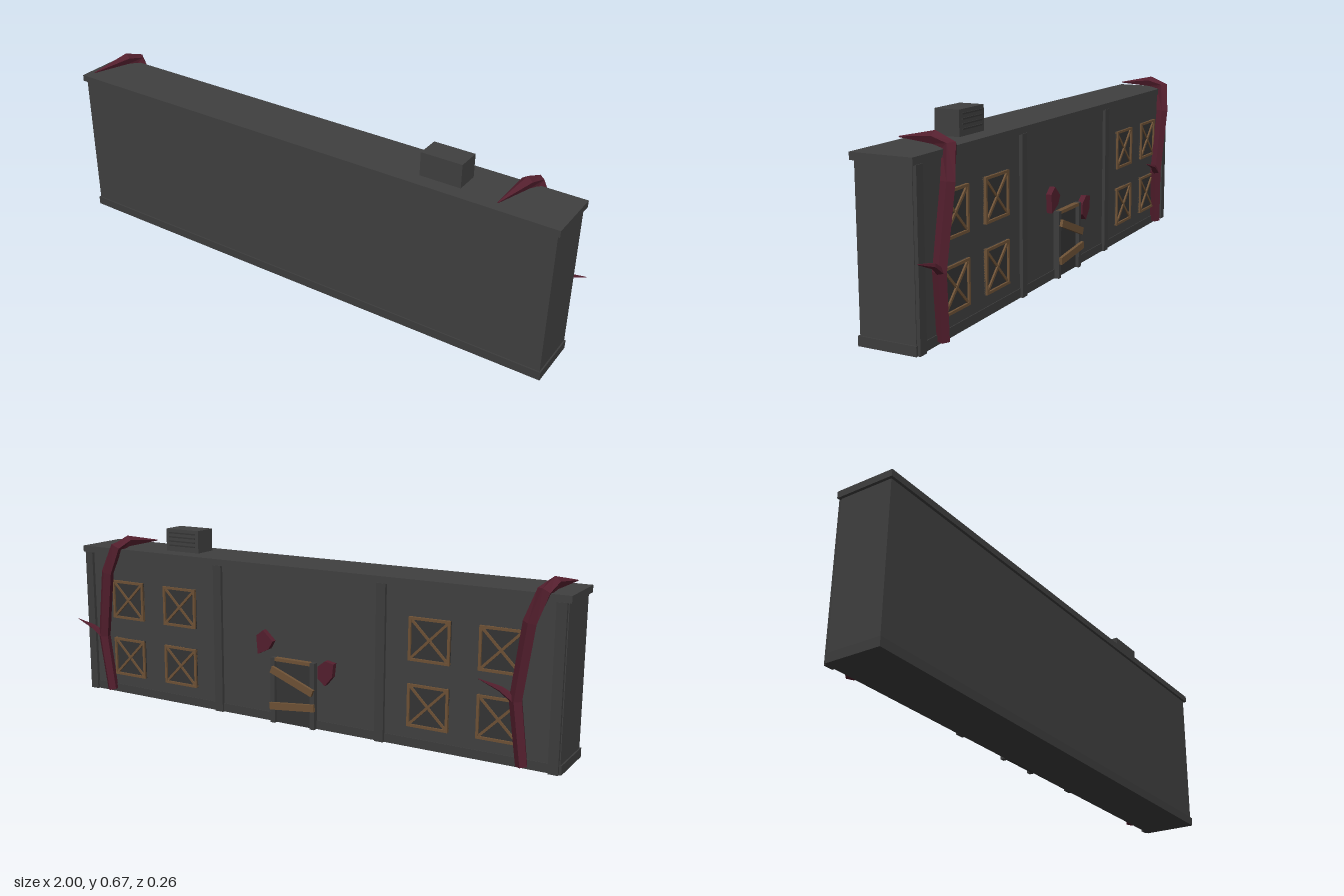
import * as THREE from 'three';

const mat = (name, color) => {
  const m = new THREE.MeshStandardMaterial({ color });
  m.name = name;
  return m;
};

// Faceted tapering limb: five-sided rings along a path of [x, y, z, radius]
function limbGeometry(path, sides = 5) {
  const pts = path.map(p => new THREE.Vector3(p[0], p[1], p[2]));
  const pos = [], idx = [];
  pts.forEach((p, i) => {
    const dir = pts[Math.min(i + 1, pts.length - 1)].clone().sub(pts[Math.max(i - 1, 0)]).normalize();
    const side = new THREE.Vector3(1, 0, 0);
    if (Math.abs(dir.x) > 0.8) side.set(0, 0, 1);
    side.addScaledVector(dir, -side.dot(dir)).normalize();
    const out = new THREE.Vector3().crossVectors(dir, side);
    for (let s = 0; s < sides; s++) {
      const a = (s / sides) * Math.PI * 2 + Math.PI / 2;
      const v = p.clone().addScaledVector(side, Math.cos(a) * path[i][3]).addScaledVector(out, Math.sin(a) * path[i][3]);
      pos.push(v.x, v.y, v.z);
    }
  });
  const last = (pts.length - 1) * sides;
  for (let i = 0; i < pts.length - 1; i++) {
    for (let s = 0; s < sides; s++) {
      const a = i * sides + s, b = i * sides + (s + 1) % sides;
      idx.push(a, b, a + sides, b, b + sides, a + sides);
    }
  }
  for (let s = 1; s < sides - 1; s++) idx.push(0, s + 1, s, last, last + s, last + s + 1);
  const g = new THREE.BufferGeometry();
  g.setAttribute('position', new THREE.Float32BufferAttribute(pos, 3));
  g.setIndex(idx);
  const flat = g.toNonIndexed();
  flat.computeVertexNormals();
  return flat;
}

export function createModel() {
  const root = new THREE.Group();
  root.name = 'derelictBlock';
  const wall = mat('wall grey', 0x404040);
  const trim = mat('trim grey', 0x3d3d3d);
  const dark = mat('opening grey', 0x343434);
  const wood = mat('board brown', 0x6e5236);
  const red = mat('growth red', 0x541f2e);
  red.flatShading = true;

  const add = (name, geo, material, parent = root) => {
    const m = new THREE.Mesh(geo, material);
    m.name = name;
    parent.add(m);
    return m;
  };
  // Box given by its extents on each axis
  const box = (name, material, x0, x1, y0, y1, z0, z1, parent) => {
    const m = add(name, new THREE.BoxGeometry(x1 - x0, y1 - y0, z1 - z0), material, parent);
    m.position.set((x0 + x1) / 2, (y0 + y1) / 2, (z0 + z1) / 2);
    return m;
  };

  // Main shell
  box('walls', wall, -0.99, 0.965, 0.01, 0.57, -0.074, 0.122);
  box('plinth', trim, -0.995, 0.97, 0, 0.032, -0.077, 0.127);
  box('roofSlab', wall, -1, 0.975, 0.556, 0.58, -0.083, 0.132);

  // Pilasters dividing the rear wall into three bays
  for (const x of [-0.97, -0.35, 0.325, 0.945])
    box('pilaster', trim, x - 0.017, x + 0.017, 0, 0.557, -0.086, -0.07);

  // Boarded windows: pane, frame and crossed boards
  const S = 0.15, T = 0.009;
  for (const x of [-0.78, -0.53, 0.505, 0.755]) {
    for (const y of [0.15, 0.38]) {
      const win = new THREE.Group();
      win.name = 'boardedWindow';
      win.position.set(x, y, -0.074);
      root.add(win);
      const h = S / 2;
      box('pane', dark, -h, h, -h, h, -0.005, 0, win);
      for (const s of [-1, 1]) {
        const c = s * (h - T / 2);
        box('frameRail', wood, -h, h, c - T / 2, c + T / 2, -0.012, 0, win);
        box('frameStile', wood, c - T / 2, c + T / 2, -h, h, -0.012, 0, win);
        const b = box('crossBoard', wood, -0.095, 0.095, -T / 2, T / 2, -0.01 + s * 0.001, -0.004, win);
        b.rotation.z = s * Math.PI / 4;
      }
    }
  }

  // Doorway with two nailed planks
  const dx = -0.005;
  box('doorLeaf', dark, dx - 0.08, dx + 0.08, 0, 0.235, -0.081, -0.07);
  for (const s of [-1, 1])
    box('doorPost', trim, dx + s * 0.083 - 0.009, dx + s * 0.083 + 0.009, 0, 0.245, -0.095, -0.07);
  box('doorLintel', wood, dx - 0.074, dx + 0.074, 0.233, 0.245, -0.094, -0.07);
  for (const [y, a] of [[0.17, 0.37], [0.074, -0.1]]) {
    const p = box('doorPlank', wood, -0.1, 0.085, y - 0.013, y + 0.013, -0.106, -0.094);
    p.rotation.z = a;
  }

  // Rooftop vent unit with louvres on its rear face
  box('ventUnit', wall, 0.462, 0.612, 0.578, 0.665, -0.012, 0.077);
  for (let i = 0; i < 4; i++)
    box('louvre', dark, 0.477, 0.597, 0.6 + i * 0.016, 0.605 + i * 0.016, -0.016, -0.01);

  // Angular growth patches on the rear wall
  const patch = (x, y, pts) => {
    const shape = new THREE.Shape(pts.map(p => new THREE.Vector2(-p[0], p[1])));
    const g = new THREE.ExtrudeGeometry(shape, { depth: 0.022, bevelEnabled: false });
    add('growthPatch', g, red).position.set(x, y, -0.095);
  };
  patch(0.112, 0.3, [[-0.035, 0.018], [-0.006, 0.041], [0.035, 0.004], [0.017, -0.027], [-0.029, -0.05]]);
  patch(-0.14, 0.218, [[-0.029, 0.019], [0, 0.042], [0.035, 0.036], [0.029, -0.013], [0, -0.048], [-0.029, -0.024]]);

  // Two climbing tendrils that hook over the roof, each with a thorn
  const stem = limbGeometry([
    [0.844, 0.012, -0.09, 0.021], [0.87, 0.23, -0.098, 0.023], [0.832, 0.49, -0.108, 0.024],
    [0.797, 0.588, -0.093, 0.024], [0.785, 0.606, -0.037, 0.022], [0.757, 0.594, 0.11, 0.002],
  ]);
  const thorn = limbGeometry([
    [0.865, 0.225, -0.1, 0.016], [0.92, 0.262, -0.107, 0.01], [0.998, 0.285, -0.106, 0.001],
  ]);
  for (const x of [0, -1.713]) {
    const g = new THREE.Group();
    g.name = 'tendril';
    g.position.x = x;
    root.add(g);
    add('stem', stem, red, g);
    add('thorn', thorn, red, g);
  }
  return root;
}
